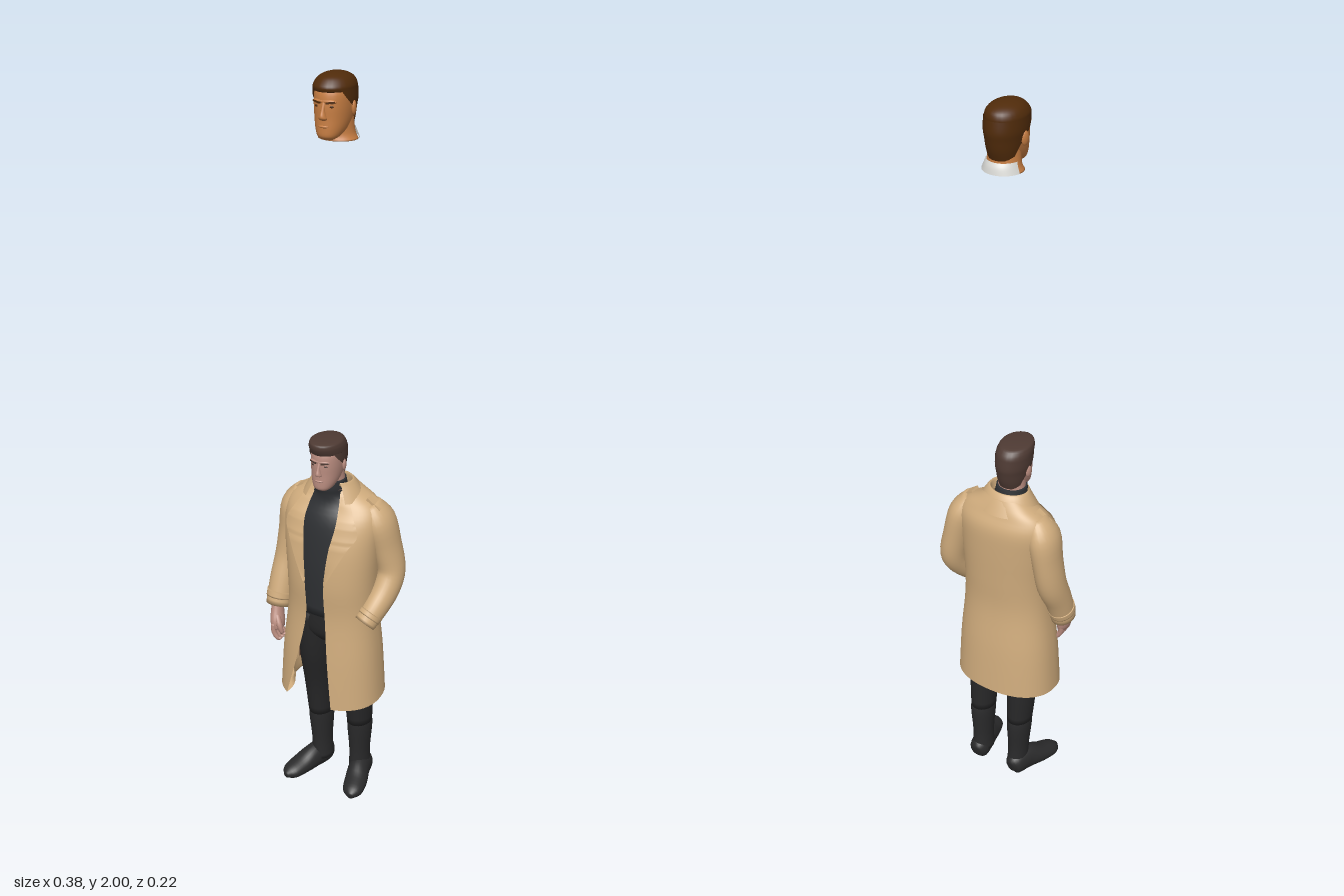
import * as THREE from 'three';

const mat = (name, color) => {
  const m = new THREE.MeshStandardMaterial({ color, side: THREE.DoubleSide });
  m.name = name;
  return m;
};

// Catmull-Rom resampling of section rows
function resample(rows, steps) {
  const out = [], n = rows.length - 1;
  for (let i = 0; i < n; i++) {
    for (let k = 0; k < steps + (i === n - 1 ? 1 : 0); k++) {
      const t = k / steps;
      const a = rows[Math.max(0, i - 1)], b = rows[i], c = rows[i + 1], d = rows[Math.min(n, i + 2)];
      out.push(b.map((v, j) => v + 0.5 * t * (c[j] - a[j] + t * (2 * a[j] - 5 * v + 4 * c[j] - d[j] + t * (3 * (v - c[j]) + d[j] - a[j])))));
    }
  }
  return out;
}

// Lofts rows of [x, y, z, rx, rz, ...]. Rings lie flat, or across the path with along.
// arc(row) gives [start, end] for an open ring: 0 = +x, PI/2 = back, -PI/2 = front.
function loft(rows, { along = false, arc = null, p = 1, seg = 28, steps = 4 } = {}) {
  const R = resample(rows, steps), pos = [], idx = [], n = seg + (arc ? 1 : 0);
  const pow = v => Math.sign(v) * Math.abs(v) ** p;
  const centre = r => new THREE.Vector3(r[0], r[1], r[2]);
  R.forEach((r, i) => {
    const t = along
      ? centre(R[Math.min(i + 1, R.length - 1)]).sub(centre(R[Math.max(i - 1, 0)])).normalize()
      : new THREE.Vector3(0, 1, 0);
    const u = new THREE.Vector3(1, 0, 0).addScaledVector(t, -t.x).normalize();
    const v = t.clone().cross(u);
    const [a0, a1] = arc ? arc(r) : [0, Math.PI * 2];
    for (let j = 0; j < n; j++) {
      const a = a0 + (a1 - a0) * j / seg;
      const q = centre(r).addScaledVector(u, pow(Math.cos(a)) * Math.max(r[3], 0.001))
        .addScaledVector(v, pow(Math.sin(a)) * Math.max(r[4], 0.001));
      pos.push(q.x, q.y, q.z);
    }
  });
  for (let i = 0; i < R.length - 1; i++) for (let j = 0; j < seg; j++) {
    const a = i * n + j, b = i * n + (j + 1) % n;
    idx.push(a, b, a + n, b, b + n, a + n);
  }
  if (!arc) [0, R.length - 1].forEach((i, end) => {
    const c = pos.length / 3;
    pos.push(R[i][0], R[i][1], R[i][2]);
    for (let j = 0; j < seg; j++) {
      const a = i * n + j, b = i * n + (j + 1) % n;
      idx.push(c, ...(end ? [a, b] : [b, a]));
    }
  });
  const g = new THREE.BufferGeometry();
  g.setAttribute('position', new THREE.Float32BufferAttribute(pos, 3));
  g.setIndex(idx);
  g.computeVertexNormals();
  return g;
}

// Moves every vertex by a rule
function bend(g, rule) {
  const a = g.attributes.position, v = new THREE.Vector3();
  for (let i = 0; i < a.count; i++) {
    rule(v.fromBufferAttribute(a, i));
    a.setXYZ(i, v.x, v.y, v.z);
  }
  g.computeVertexNormals();
  return g;
}

function add(parent, name, geo, material, x = 0, y = 0, z = 0) {
  const m = new THREE.Mesh(geo, material);
  m.name = name;
  m.position.set(x, y, z);
  parent.add(m);
  return m;
}

// Head with its chin at y = 0
function makeHead(name, skin, hair, crown) {
  const g = new THREE.Group();
  g.name = name;
  add(g, 'face', loft([[0, 0, 0.03, 0.017, 0.014], [0, 0.008, 0.021, 0.027, 0.032], [0, 0.025, 0.008, 0.036, 0.046],
    [0, 0.05, -0.003, 0.042, 0.056], [0, 0.08, -0.007, 0.045, 0.06], [0, 0.11, -0.008, 0.044, 0.057],
    [0, 0.13, -0.01, 0.034, 0.045], [0, 0.138, -0.01, 0.02, 0.03]], { p: 0.92 }), skin);
  add(g, 'neck', loft([[0, -0.008, -0.022, 0.05, 0.042], [0, 0.01, -0.022, 0.042, 0.037], [0, 0.05, -0.018, 0.038, 0.038]]), skin);
  add(g, 'nose', loft([[0, 0.046, 0.049, 0.006, 0.004], [0, 0.051, 0.053, 0.01, 0.01], [0, 0.058, 0.054, 0.008, 0.011],
    [0, 0.07, 0.053, 0.005, 0.007], [0, 0.09, 0.049, 0.005, 0.003]], { seg: 14 }), skin);
  add(g, 'lips', new THREE.SphereGeometry(1, 14, 8), skin, 0, 0.032, 0.049).scale.set(0.015, 0.004, 0.007);
  add(g, 'browRidge', new THREE.SphereGeometry(1, 18, 8), skin, 0, 0.09, 0.044).scale.set(0.032, 0.007, 0.009);
  for (const s of [-1, 1]) {
    const brow = add(g, 'eyebrow', new THREE.BoxGeometry(0.022, 0.004, 0.006), hair, s * 0.018, 0.089, 0.05);
    brow.rotation.set(0, s * 0.4, s * 0.12);
    add(g, 'eye', new THREE.SphereGeometry(1, 12, 8), hair, s * 0.018, 0.079, 0.047).scale.set(0.007, 0.003, 0.003);
    const ear = add(g, 'ear', new THREE.SphereGeometry(1, 14, 10), skin, s * 0.048, 0.07, -0.01);
    ear.scale.set(0.006, 0.018, 0.011);
    ear.rotation.y = s * 0.3;
  }
  add(g, 'backHair', loft([[0, 0.022, -0.022, 0.036, 0.037, -0.4], [0, 0.045, -0.017, 0.042, 0.05, -0.25],
    [0, 0.07, -0.01, 0.047, 0.062, 0], [0, 0.09, -0.009, 0.05, 0.066, 0.35], [0, 0.118, -0.008, 0.05, 0.064, 0.75]],
    { arc: r => [-r[5], Math.PI + r[5]] }), hair);
  add(g, 'crownHair', loft(crown), hair);
  return g;
}

// Coat sections: the last two numbers are the x of the front edges
const P = 0.88;
const COAT = [[-0.003, 0.312, 0.002, 0.147, 0.111, -0.098, 0.048], [-0.002, 0.45, 0.003, 0.139, 0.104, -0.06, 0.034],
  [0, 0.58, 0.005, 0.126, 0.093, -0.036, 0.022], [0, 0.68, 0.006, 0.126, 0.097, -0.036, 0.02],
  [-0.002, 0.78, 0, 0.134, 0.095, -0.042, 0.03], [-0.003, 0.85, -0.01, 0.138, 0.084, -0.05, 0.042],
  [-0.004, 0.89, -0.015, 0.122, 0.064, -0.048, 0.04], [-0.005, 0.918, -0.018, 0.08, 0.05, -0.042, 0.036],
  [-0.006, 0.935, -0.018, 0.058, 0.042, -0.04, 0.034]];
const edgeAngle = (x, rx) => Math.acos(THREE.MathUtils.clamp(Math.sign(x) * Math.abs(x / rx) ** (1 / P), -1, 1));
const coatArc = r => [-edgeAngle(r[6], r[3]), Math.PI * 2 - edgeAngle(r[5], r[3])];
const coatLoft = rows => bend(loft(rows, { p: P, seg: 56, arc: coatArc }), v => { v.y -= v.z * 0.09; });

// Depth of the coat's front at a point
const coatRows = resample(COAT, 12);
function coatFront(x, y) {
  const r = coatRows.find(row => row[1] >= y + 0.007) || coatRows[coatRows.length - 1];
  const c = Math.min(0.97, Math.abs((x - r[0]) / r[3])) ** (1 / P);
  return r[2] + r[4] * Math.sqrt(1 - c * c) ** P;
}

export function createModel() {
  const root = new THREE.Group();
  const coatM = mat('camel coat', 0xd0ac7d), knit = mat('charcoal knit', 0x2e3033);
  const trouser = mat('black trousers', 0x272728), leather = mat('black leather', 0x2a2a2b);
  const skinA = mat('tanned skin', 0xc67d42), hairA = mat('brown hair', 0x502b0a);
  const skinB = mat('rosy skin', 0xb98c7f), hairB = mat('dark hair', 0x4e3a33);
  const white = mat('white collar', 0xd8d8d4), lining = mat('brown lining', 0x4e342a);

  // Spare head floating above, with rounded hair
  const spare = makeHead('spareHead', skinA, hairA, [[0, 0.112, -0.008, 0.049, 0.062], [0, 0.122, -0.007, 0.049, 0.063],
    [0, 0.134, -0.009, 0.043, 0.056], [0, 0.143, -0.008, 0.033, 0.043], [0, 0.149, -0.007, 0.017, 0.023], [0, 0.151, -0.007, 0.002, 0.002]]);
  spare.position.set(-0.002, 1.85, 0);
  add(spare, 'shirtCollar', loft([[0, -0.007, -0.022, 0.052, 0.052], [0, 0.008, -0.021, 0.046, 0.049], [0, 0.019, -0.02, 0.042, 0.044]],
    { arc: () => [0.25, Math.PI - 0.25] }), white);
  root.add(spare);

  // Worn head with a swept-up top
  const head = makeHead('head', skinB, hairB, [[0, 0.112, -0.008, 0.05, 0.063], [0, 0.124, -0.004, 0.05, 0.065],
    [0, 0.136, 0.001, 0.048, 0.063], [0, 0.146, 0.005, 0.041, 0.054], [0, 0.15, 0.006, 0.015, 0.02]]);
  head.position.set(-0.008, 0.94, 0.024);
  head.scale.setScalar(0.92);
  root.add(head);

  // Roll-neck sweater and hips
  add(root, 'sweater', loft([[-0.005, 0.565, 0, 0.1, 0.074], [-0.005, 0.7, 0, 0.106, 0.08], [-0.005, 0.83, -0.008, 0.112, 0.075],
    [-0.006, 0.89, -0.008, 0.07, 0.052], [-0.007, 0.915, -0.002, 0.046, 0.044], [-0.008, 0.935, 0.003, 0.044, 0.043],
    [-0.008, 0.957, 0.005, 0.041, 0.04]]), knit);
  add(root, 'hips', loft([[-0.003, 0.475, -0.004, 0.06, 0.05], [-0.003, 0.51, -0.002, 0.095, 0.072], [-0.004, 0.58, 0, 0.1, 0.073]]), trouser);

  // Legs and boots
  for (const s of [-1, 1]) {
    const side = s < 0 ? 'right' : 'left', toe = s < 0 ? -0.112 : 0.094;
    add(root, side + 'Leg', loft([[s * 0.044, 0.56, 0, 0.053, 0.068], [s * 0.054, 0.42, -0.008, 0.05, 0.06],
      [s * 0.061, 0.3, -0.026, 0.041, 0.047], [s * 0.061, 0.19, -0.036, 0.034, 0.041]]), trouser);
    add(root, side + 'BootShaft', loft([[s * 0.059, 0.03, -0.042, 0.029, 0.037], [s * 0.06, 0.09, -0.04, 0.028, 0.035],
      [s * 0.061, 0.17, -0.038, 0.034, 0.041], [s * 0.061, 0.205, -0.035, 0.033, 0.039]]), leather);
    const mid = (k, z, y, rx, ry) => [s * 0.058 + (toe - s * 0.058) * k, y, z, rx, ry];
    add(root, side + 'BootFoot', bend(loft([mid(0, -0.08, 0.025, 0.012, 0.018), mid(0.05, -0.065, 0.028, 0.028, 0.034),
      mid(0.3, -0.02, 0.03, 0.03, 0.038), mid(0.65, 0.025, 0.02, 0.032, 0.027), mid(0.9, 0.065, 0.014, 0.027, 0.019),
      mid(1, 0.085, 0.01, 0.008, 0.008)], { along: true }), v => { v.y = Math.max(v.y, 0); }), leather);
  }

  // Open coat with a deep turned-in hem and a lining
  add(root, 'coatBody', coatLoft(COAT), coatM);
  add(root, 'coatHem', coatLoft([COAT[0], [-0.003, 0.316, 0.002, 0.116, 0.083, -0.094, 0.046],
    [-0.003, 0.36, 0.002, 0.113, 0.082, -0.086, 0.044]]), coatM);
  add(root, 'coatLining', loft([[-0.003, 0.36, 0.002, 0.113, 0.082], [-0.002, 0.45, 0.003, 0.116, 0.086], [0, 0.56, 0.005, 0.118, 0.086]],
    { p: P, arc: () => [0.1, Math.PI - 0.1] }), lining);

  // Folded collar
  add(root, 'coatCollar', loft([[-0.006, 0.902, -0.012, 0.088, 0.07], [-0.006, 0.942, -0.009, 0.064, 0.05],
    [-0.006, 0.953, -0.004, 0.053, 0.042], [-0.006, 0.925, -0.008, 0.05, 0.04]],
    { arc: () => [-0.85, Math.PI + 0.85] }), coatM);

  // Lapels follow the coat front: rows of [y, inner x, outer x]
  const lapel = resample([[0.915, 0.039, 0.06], [0.875, 0.046, 0.086], [0.83, 0.045, 0.106], [0.785, 0.037, 0.082], [0.685, 0.027, 0.032]], 8);
  for (const s of [-1, 1]) {
    add(root, 'lapel', bend(new THREE.PlaneGeometry(1, 1, 6, 32), v => {
      const [y, inner, outer] = lapel[Math.round((0.5 - v.y) * 32)];
      const k = 0.5 + s * v.x;
      const x = s * (inner + (outer - inner) * k) - 0.006;
      v.set(x, y, coatFront(x, y) + 0.004 + 0.005 * k);
    }), coatM);
    const strap = add(root, 'epaulette', new THREE.BoxGeometry(0.045, 0.008, 0.03), coatM, s * 0.113, 0.897, -0.015);
    strap.rotation.z = -s * 0.6;
  }

  // Sleeves: right arm hangs, left hand rests in the pocket
  add(root, 'rightSleeve', loft([[-0.1, 0.893, -0.018, 0.022, 0.03], [-0.122, 0.845, -0.02, 0.04, 0.053], [-0.134, 0.77, -0.02, 0.038, 0.05],
    [-0.142, 0.69, -0.01, 0.038, 0.046], [-0.148, 0.62, 0.018, 0.036, 0.04], [-0.151, 0.55, 0.042, 0.034, 0.037]], { along: true }), coatM);
  add(root, 'rightCuffStrap', loft([[-0.15, 0.588, 0.03, 0.0365, 0.04], [-0.151, 0.57, 0.036, 0.0358, 0.039]], { along: true }), coatM);
  add(root, 'leftSleeve', loft([[0.1, 0.893, -0.018, 0.022, 0.03], [0.12, 0.845, -0.024, 0.04, 0.053], [0.138, 0.77, -0.034, 0.038, 0.048],
    [0.152, 0.7, -0.036, 0.037, 0.042], [0.149, 0.65, -0.01, 0.036, 0.039], [0.135, 0.605, 0.03, 0.033, 0.035],
    [0.12, 0.572, 0.058, 0.03, 0.031]], { along: true }), coatM);
  add(root, 'leftCuffStrap', loft([[0.131, 0.597, 0.037, 0.034, 0.0358], [0.126, 0.586, 0.046, 0.033, 0.0348]], { along: true }), coatM);

  // Right hand with curled fingers
  add(root, 'rightHand', loft([[-0.15, 0.565, 0.045, 0.015, 0.018], [-0.148, 0.535, 0.054, 0.017, 0.022],
    [-0.143, 0.508, 0.062, 0.018, 0.026], [-0.138, 0.49, 0.064, 0.013, 0.022]], { along: true }), skinB);
  for (let i = 0; i < 4; i++) {
    const z = 0.083 - i * 0.013;
    add(root, 'finger', loft([[-0.145, 0.508, z, 0.007, 0.007], [-0.143, 0.484, z + 0.001, 0.007, 0.007],
      [-0.132, 0.466, z - 0.001, 0.006, 0.006], [-0.122, 0.468, z - 0.004, 0.003, 0.003]], { along: true, seg: 10 }), skinB);
  }
  add(root, 'thumb', loft([[-0.142, 0.532, 0.068, 0.008, 0.008], [-0.128, 0.508, 0.08, 0.008, 0.008], [-0.12, 0.484, 0.08, 0.005, 0.005]],
    { along: true, seg: 10 }), skinB);

  return root;
}
